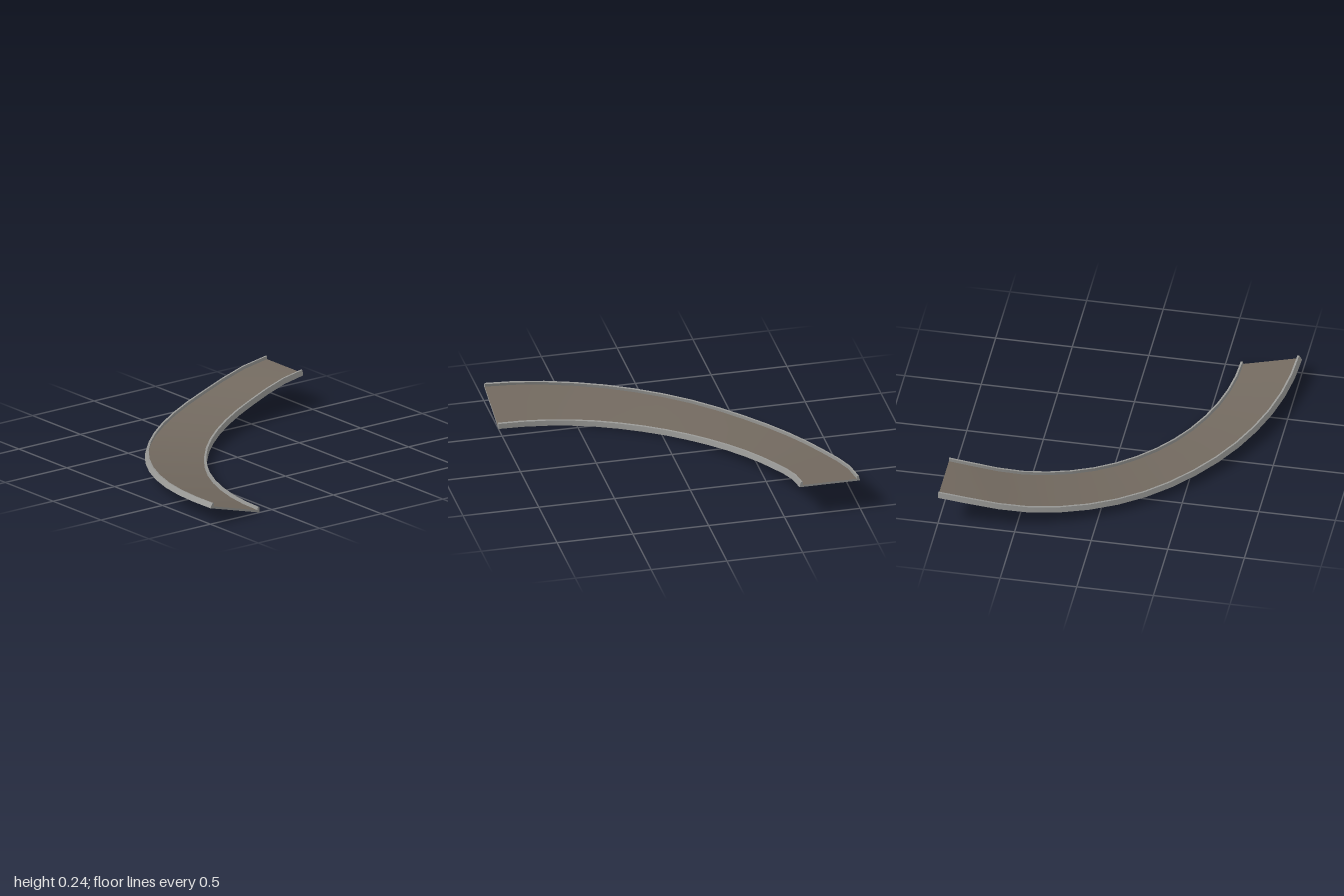
import * as THREE from 'three';

const STEPS = 16, WIDTH = 0.4, OUTER_RADIUS = 2;

// height of the underside along each edge, evenly spaced from start to end
const heightCurve = (values) =>
  new THREE.SplineCurve(values.map((y, i) => new THREE.Vector2(i / (values.length - 1), y)));
const outerEdge = heightCurve([0.107, 0.082, 0.059, 0.05, 0.097, 0.203]);
const innerEdge = heightCurve([0, 0.002, 0.01, 0.041, 0.105, 0.203]);

// cross-section loop: [distance from outer edge, height above underside]
const RIM = [[0, 0], [0.009, 0.035], [0.022, 0.035], [0.022, 0.014]];
const SECTION = [...RIM, ...RIM.map(([s, h]) => [WIDTH - s, h]).reverse()];

// place a section point on the banked quarter turn
function place([s, h], u) {
  const yOut = outerEdge.getPoint(u).y, yIn = innerEdge.getPoint(u).y;
  const tilt = Math.atan2(yOut - yIn, WIDTH);
  const radius = OUTER_RADIUS - s - h * Math.sin(tilt);
  const angle = u * Math.PI / 2;
  return [
    1 - radius * Math.cos(angle),
    THREE.MathUtils.lerp(yOut, yIn, s / WIDTH) + h * Math.cos(tilt),
    1 - radius * Math.sin(angle),
  ];
}

function surface(name, positions, index, material) {
  const geometry = new THREE.BufferGeometry();
  geometry.setAttribute('position', new THREE.Float32BufferAttribute(positions, 3));
  geometry.setIndex(index);
  geometry.computeVertexNormals();
  const mesh = new THREE.Mesh(geometry, material);
  mesh.name = name;
  return mesh;
}

// sweep the listed section sides; each side keeps its own vertices for crisp edges
function sweep(name, sides, material) {
  const positions = [], index = [];
  for (const side of sides) {
    const base = positions.length / 3;
    for (let i = 0; i <= STEPS; i++) {
      positions.push(...place(SECTION[side], i / STEPS));
      positions.push(...place(SECTION[(side + 1) % SECTION.length], i / STEPS));
      if (i === STEPS) continue;
      const a = base + i * 2;
      index.push(a, a + 1, a + 3, a, a + 3, a + 2);
    }
  }
  return surface(name, positions, index, material);
}

// close one end of the track
function endCap(name, u, material) {
  const index = [0, 1, 2, 0, 2, 3, 0, 3, 4, 0, 4, 7, 4, 5, 6, 4, 6, 7];
  if (u === 0) index.reverse();
  return surface(name, SECTION.flatMap((p) => place(p, u)), index, material);
}

export function createModel() {
  const deckMaterial = new THREE.MeshStandardMaterial({ color: 0x72695f });
  deckMaterial.name = 'brown grey road';
  const frameMaterial = new THREE.MeshStandardMaterial({ color: 0x999996 });
  frameMaterial.name = 'light grey frame';

  const group = new THREE.Group();
  group.name = 'bankedCurveTrack';
  group.add(
    sweep('roadSurface', [3], deckMaterial),
    sweep('outerRim', [0, 1, 2], frameMaterial),
    sweep('innerRim', [4, 5, 6], frameMaterial),
    sweep('underside', [7], frameMaterial),
    endCap('startEnd', 0, frameMaterial),
    endCap('finishEnd', 1, frameMaterial),
  );
  return group;
}
